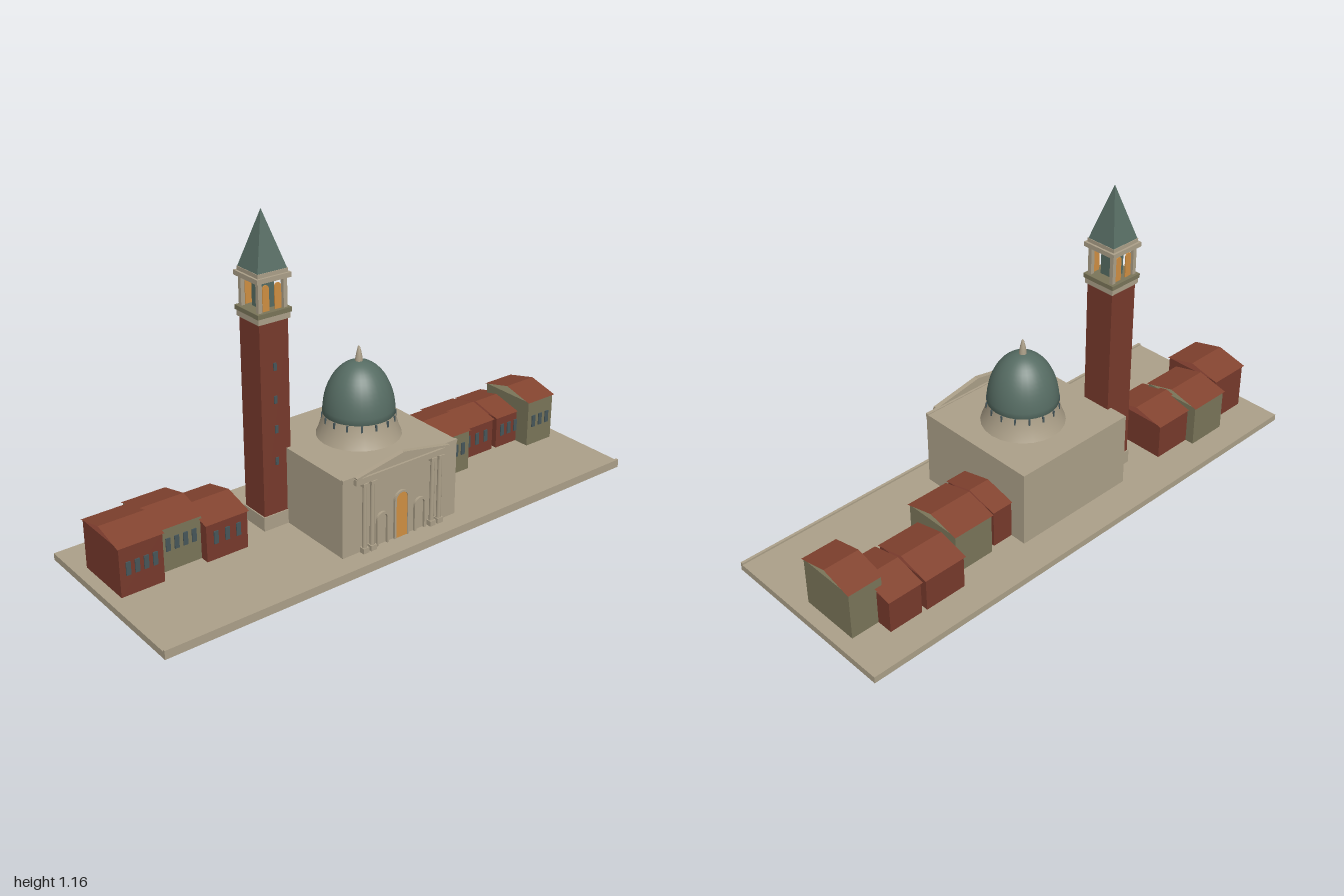
import * as THREE from 'three';

const mat = (name, color, side = THREE.FrontSide) => {
  const m = new THREE.MeshStandardMaterial({ color, side });
  m.name = name;
  return m;
};

export function createModel() {
  const stone = mat('stone', 0xaca089);
  const brick = mat('brick', 0x783a2c);
  const olive = mat('olive plaster', 0x7a7559);
  const tile = mat('roof tile', 0x83432f, THREE.DoubleSide);
  const copper = mat('green copper', 0x566c63);
  const glass = mat('dark glass', 0x46565a);
  const amber = mat('amber', 0xd08f42, THREE.DoubleSide);
  const root = new THREE.Group();
  root.name = 'waterfrontSquare';

  const add = (name, geo, material, x = 0, y = 0, z = 0, parent = root) => {
    const m = new THREE.Mesh(geo, material);
    m.name = name;
    m.position.set(x, y, z);
    parent.add(m);
    return m;
  };
  // Box given by its centre in x and z and its bottom and top heights
  const box = (name, material, x, z, w, d, y0, y1, parent) =>
    add(name, new THREE.BoxGeometry(w, y1 - y0, d), material, x, (y0 + y1) / 2, z, parent);
  // Round-headed outline standing on y = 0
  const archPath = (w, h, path) => {
    path.moveTo(-w / 2, 0);
    path.lineTo(w / 2, 0);
    path.lineTo(w / 2, h - w / 2);
    path.absarc(0, h - w / 2, w / 2, 0, Math.PI, false);
    path.lineTo(-w / 2, 0);
    return path;
  };
  const extrude = (shape, depth) =>
    new THREE.ExtrudeGeometry(shape, { depth, bevelEnabled: false, curveSegments: 8 });
  const arch = (w, h, depth) => extrude(archPath(w, h, new THREE.Shape()), depth);
  const archFrame = (w, h, t, depth) => {
    const s = archPath(w, h, new THREE.Shape());
    s.holes.push(archPath(w - 2 * t, h - t, new THREE.Path()));
    return extrude(s, depth);
  };

  // Quay with a low kerb along the water
  box('quay', stone, 0, -0.005, 2, 0.72, 0, 0.025);
  box('kerb', stone, 0, 0.35, 2, 0.01, 0.02, 0.032);

  // Church body
  const church = new THREE.Group();
  church.name = 'church';
  root.add(church);
  const cx = -0.01;
  box('churchBody', stone, cx, 0.015, 0.5, 0.5, 0.025, 0.316, church);
  box('frontCornice', stone, cx, 0.262, 0.5, 0.012, 0.306, 0.319, church);

  // Temple front
  for (const s of [-1, 1]) {
    for (const off of [0.132, 0.165]) {
      const x = cx + s * off;
      add('facadeColumn', new THREE.CylinderGeometry(0.008, 0.009, 0.235, 12), stone, x, 0.16, 0.275, church);
      box('columnBase', stone, x, 0.275, 0.024, 0.022, 0.025, 0.045, church);
      box('columnCapital', stone, x, 0.275, 0.024, 0.022, 0.277, 0.29, church);
    }
    add('nicheFrame', archFrame(0.052, 0.125, 0.008, 0.01), stone, cx + s * 0.083, 0.025, 0.264, church);
  }
  box('entablature', stone, cx, 0.273, 0.41, 0.018, 0.29, 0.312, church);
  const pediment = new THREE.Shape();
  pediment.moveTo(-0.2, 0);
  pediment.lineTo(0.2, 0);
  pediment.lineTo(0, 0.037);
  add('pediment', extrude(pediment, 0.01), stone, cx, 0.312, 0.264, church);
  for (const s of [-1, 1]) {
    const rake = box('rakingCornice', stone, cx + s * 0.1, 0.273, 0.207, 0.018, 0.328, 0.336, church);
    rake.rotation.z = -s * Math.atan2(0.037, 0.2);
  }
  add('door', arch(0.05, 0.172, 0.005), amber, cx, 0.025, 0.266, church);
  add('doorFrame', archFrame(0.064, 0.18, 0.007, 0.01), stone, cx, 0.025, 0.264, church);

  // Flared drum, dome and finial
  const dome = new THREE.Group();
  dome.name = 'domeAssembly';
  dome.position.set(0.01, 0, 0.01);
  church.add(dome);
  const lathe = (pts, n) => new THREE.LatheGeometry(pts.map(p => new THREE.Vector2(...p)), n);
  add('drum', lathe([[0.152, 0.315], [0.142, 0.338], [0.135, 0.362], [0.129, 0.385], [0.126, 0.405]], 24),
    stone, 0, 0, 0, dome);
  const shell = [[0.12, 0.398]];
  for (let i = 0; i <= 14; i++) {
    const a = (i / 14) * Math.PI / 2;
    shell.push([0.128 * Math.cos(a) + 1e-5, 0.4 + 0.19 * Math.sin(a)]);
  }
  add('dome', lathe(shell, 32), copper, 0, 0, 0, dome);
  add('finial', lathe([[0.014, 0.58], [0.013, 0.598], [0.009, 0.62], [0.004, 0.64], [1e-5, 0.646]], 12),
    stone, 0, 0, 0, dome);
  for (let i = 0; i < 16; i++) {
    const a = ((i + 0.5) / 16) * Math.PI * 2;
    const slot = box('drumWindow', glass, Math.sin(a) * 0.129, Math.cos(a) * 0.129, 0.006, 0.006, 0.376, 0.398, dome);
    slot.rotation.y = a;
  }

  // Bell tower
  const tower = new THREE.Group();
  tower.name = 'bellTower';
  tower.position.set(-0.3, 0, -0.105);
  root.add(tower);
  box('plinth', stone, 0, 0, 0.124, 0.124, 0.025, 0.078, tower);
  box('shaft', brick, 0, 0, 0.115, 0.115, 0.078, 0.792, tower);
  for (const y of [0.265, 0.385, 0.495, 0.615]) box('slitWindow', glass, 0, 0.058, 0.012, 0.006, y, y + 0.028, tower);
  box('lowerCornice', stone, 0, 0, 0.128, 0.128, 0.79, 0.812, tower);
  box('belfryFloor', olive, 0, 0, 0.136, 0.136, 0.812, 0.828, tower);
  box('belfryCore', copper, 0, 0, 0.053, 0.053, 0.828, 0.934, tower);
  for (const sx of [-1, 1]) for (const sz of [-1, 1]) {
    box('belfryPier', stone, sx * 0.05, sz * 0.05, 0.015, 0.015, 0.828, 0.934, tower);
    add('belfryArch', arch(0.026, 0.09, 0.004), amber, sx * 0.024, 0.828, sz * 0.05 - 0.002, tower);
  }
  box('upperCornice', stone, 0, 0, 0.136, 0.136, 0.932, 0.949, tower);
  box('spireBase', stone, 0, 0, 0.12, 0.12, 0.949, 0.963, tower);
  const spire = new THREE.ConeGeometry(0.058 * Math.SQRT2, 0.197, 4).toNonIndexed();
  spire.computeVertexNormals();
  add('spire', spire, copper, 0, 1.0615, 0, tower).rotation.y = Math.PI / 4;

  // Open gable roof: two thin slopes meeting at a ridge along x
  const gable = (w, d, h) => {
    const g = new THREE.BufferGeometry();
    const quad = s => {
      const a = [-w / 2, 0, s * d / 2], b = [w / 2, 0, s * d / 2], c = [w / 2, h, 0], e = [-w / 2, h, 0];
      return (s > 0 ? [a, b, c, a, c, e] : [b, a, e, b, e, c]).flat();
    };
    g.setAttribute('position', new THREE.Float32BufferAttribute([...quad(1), ...quad(-1)], 3));
    g.computeVertexNormals();
    return g;
  };

  // Town houses: x range, ridge z, wall top, wall, window count, window bottom
  const houses = [
    [-0.96, -0.79, -0.1, 0.205, brick, 4, 0.1],
    [-0.787, -0.615, -0.147, 0.188, olive, 4, 0.1],
    [-0.63, -0.458, -0.112, 0.165, brick, 3, 0.085],
    [0.23, 0.327, -0.055, 0.173, brick, 2, 0.085],
    [0.342, 0.514, -0.072, 0.185, olive, 4, 0.095],
    [0.524, 0.696, -0.135, 0.152, brick, 3, 0.07],
    [0.705, 0.845, -0.132, 0.152, brick, 3, 0.07],
    [0.812, 0.951, -0.07, 0.209, olive, 3, 0.1],
  ];
  for (const [x0, x1, z, top, wall, n, sill] of houses) {
    const house = new THREE.Group();
    house.name = 'townHouse';
    house.position.set((x0 + x1) / 2, 0, z);
    root.add(house);
    const w = x1 - x0 - 0.01;
    box('walls', wall, 0, 0, w, 0.232, 0.025, top, house);
    add('gableRoof', gable(w + 0.01, 0.244, 0.031), tile, 0, top, 0, house);
    for (let i = 0; i < n; i++)
      box('window', glass, ((i + 0.5) / n - 0.5) * w * 0.82, 0.117, 0.017, 0.006, sill, sill + 0.048, house);
  }
  return root;
}
